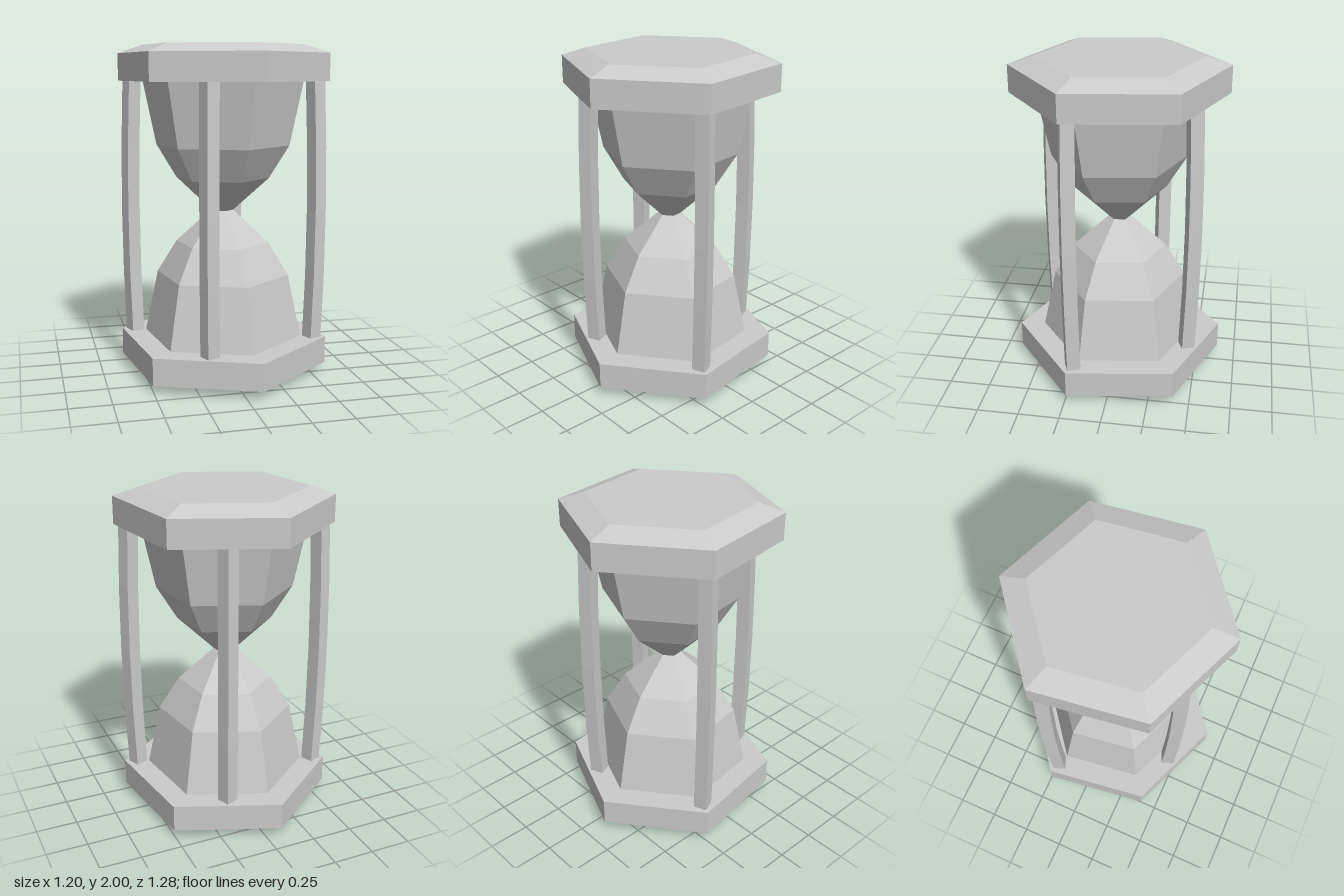
import * as THREE from 'three';

const material = new THREE.MeshStandardMaterial({ color: 0xcccccc, flatShading: true });
const TURN = THREE.MathUtils.degToRad(8.2);

// Six-sided turned solid; profile points run [radius, y] from bottom to top
function hexLathe(name, profile) {
  const points = profile.map(([r, y]) => new THREE.Vector2(r, y));
  const mesh = new THREE.Mesh(new THREE.LatheGeometry(points, 6, TURN), material);
  mesh.name = name;
  return mesh;
}

// Square post that bows slightly outward at mid height
function bowedPost(name, angle, radius) {
  const bottom = 0.21, top = 1.79, bow = 0.018;
  const geometry = new THREE.BoxGeometry(0.081, top - bottom, 0.081, 1, 4, 1);
  geometry.rotateY(THREE.MathUtils.degToRad(22));
  const pos = geometry.attributes.position;
  for (let i = 0; i < pos.count; i++) {
    const t = pos.getY(i) / ((top - bottom) / 2);
    const r = radius + bow * (1 - t * t);
    pos.setX(i, pos.getX(i) + r * Math.sin(angle));
    pos.setZ(i, pos.getZ(i) + r * Math.cos(angle));
    pos.setY(i, pos.getY(i) + 1);
  }
  geometry.computeVertexNormals();
  const mesh = new THREE.Mesh(geometry, material);
  mesh.name = name;
  return mesh;
}

export function createModel() {
  const group = new THREE.Group();
  group.name = 'hourglass';

  // Bevelled hexagonal plates
  const plate = [[0, 0], [0.495, 0], [0.645, 0.05], [0.645, 0.215], [0, 0.215]];
  const mirrored = (profile) => profile.map(([r, y]) => [r, 2 - y]).reverse();
  group.add(hexLathe('bottomPlate', plate));
  group.add(hexLathe('topPlate', mirrored(plate)));

  // Glass bulbs meeting at a narrow waist
  const bulb = [[0.492, 0.21], [0.41, 0.6], [0.287, 0.8], [0.068, 1]];
  group.add(hexLathe('lowerBulb', bulb));
  group.add(hexLathe('upperBulb', mirrored(bulb)));

  // Four posts, a quarter turn apart
  const names = ['leftPost', 'backPost', 'rightPost', 'frontPost'];
  names.forEach((name, i) => {
    const angle = TURN + Math.PI / 3 + i * Math.PI / 2;
    group.add(bowedPost(name, angle, i % 2 ? 0.487 : 0.56));
  });
  return group;
}
